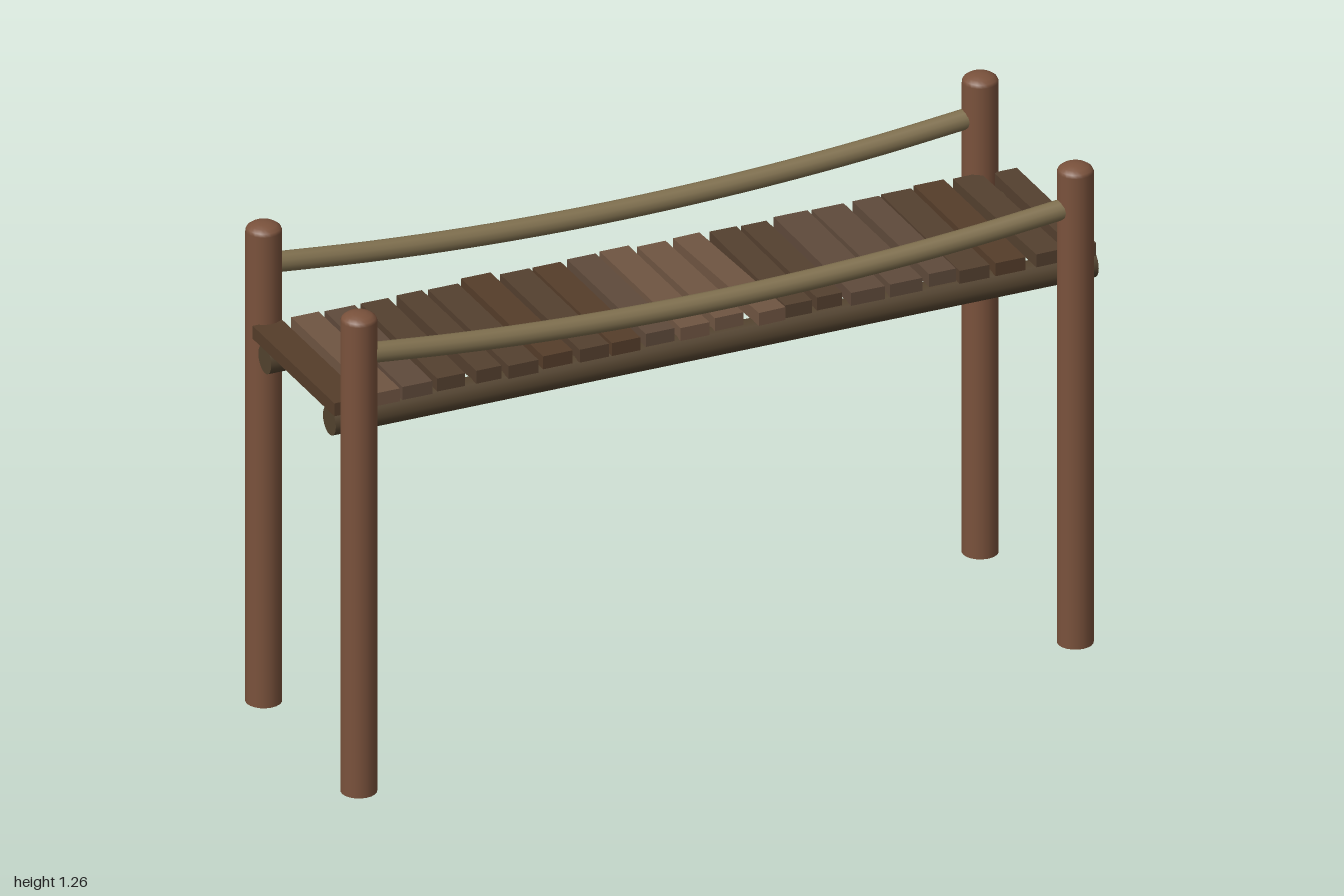
import * as THREE from 'three';

const mat = (color) => new THREE.MeshStandardMaterial({ color });

export function createModel() {
  const bridge = new THREE.Group();
  bridge.name = 'ropeBridge';
  const add = (name, geometry, material, x, y, z, parent = bridge) => {
    const mesh = new THREE.Mesh(geometry, material);
    mesh.name = name;
    mesh.position.set(x, y, z);
    parent.add(mesh);
    return mesh;
  };

  const postWood = mat(0x7a523c);
  const beamWood = mat(0x53432f);
  const ropeFibre = mat(0x80704f);
  const plankWoods = [0x54402f, 0x6f5542, 0x5f4a3b, 0x553d2a].map(mat);

  // Four round posts with low domed caps
  const postR = 0.044, postH = 1.24, sideZ = 0.265;
  const postGeo = new THREE.CylinderGeometry(postR, postR, postH, 20);
  const capGeo = new THREE.SphereGeometry(postR, 20, 4, 0, Math.PI * 2, 0, Math.PI / 2);
  capGeo.scale(1, 0.48, 1);
  for (const x of [-0.956, 0.913]) {
    for (const z of [-sideZ, sideZ]) {
      const post = new THREE.Group();
      post.name = 'post';
      post.position.set(x, 0, z);
      add('postShaft', postGeo, postWood, 0, postH / 2, 0, post);
      add('postCap', capGeo, postWood, 0, postH, 0, post);
      bridge.add(post);
    }
  }

  // Two round beams carrying the deck
  const beamGeo = new THREE.CylinderGeometry(0.036, 0.036, 1.99, 20);
  beamGeo.rotateZ(Math.PI / 2);
  for (const z of [-0.18, 0.18]) add('beam', beamGeo, beamWood, 0.002, 0.944, z);

  // Sagging hand ropes with closed ends
  const ropeR = 0.025, x0 = -0.92, x1 = 0.88;
  const points = [];
  for (let i = 0; i <= 8; i++) {
    const t = i / 8;
    points.push(new THREE.Vector3(x0 + (x1 - x0) * t, 1.147 - 0.051 * 4 * t * (1 - t), 0));
  }
  const ropeGeo = new THREE.TubeGeometry(new THREE.CatmullRomCurve3(points), 32, ropeR, 12);
  const endGeo = new THREE.CircleGeometry(ropeR, 12);
  for (const z of [-sideZ - 0.003, sideZ]) {
    add('handRope', ropeGeo, ropeFibre, 0, 0, z);
    add('ropeEnd', endGeo, ropeFibre, x0, 1.147, z).rotation.y = -Math.PI / 2;
    add('ropeEnd', endGeo, ropeFibre, x1, 1.147, z).rotation.y = Math.PI / 2;
  }

  // Deck planks: centre x, width, back z, front z, yaw, wood
  const planks = [
    [-0.962, 0.077, -0.232, 0.224, 0, 3], [-0.864, 0.072, -0.232, 0.22, 0, 1],
    [-0.775, 0.078, -0.234, 0.21, -0.012, 2], [-0.687, 0.072, -0.229, 0.21, -0.012, 0],
    [-0.591, 0.066, -0.234, 0.21, 0, 0], [-0.503, 0.078, -0.234, 0.215, 0, 0],
    [-0.411, 0.077, -0.248, 0.21, 0, 3], [-0.316, 0.076, -0.234, 0.21, 0, 0],
    [-0.233, 0.074, -0.234, 0.21, 0, 3], [-0.142, 0.075, -0.234, 0.205, 0, 2],
    [-0.051, 0.075, -0.246, 0.205, 0, 1], [0.04, 0.075, -0.228, 0.195, 0.012, 1],
    [0.138, 0.07, -0.232, 0.215, 0.035, 1], [0.224, 0.07, -0.232, 0.2, -0.012, 0],
    [0.302, 0.066, -0.222, 0.2, 0, 0], [0.401, 0.088, -0.234, 0.21, -0.012, 2],
    [0.5, 0.084, -0.234, 0.205, 0, 2], [0.597, 0.07, -0.228, 0.2, 0, 2],
    [0.678, 0.078, -0.238, 0.21, -0.01, 0], [0.77, 0.078, -0.247, 0.21, 0, 3],
    [0.868, 0.072, -0.237, 0.212, 0.018, 0], [0.963, 0.06, -0.232, 0.21, 0, 0],
  ];
  const deck = new THREE.Group();
  deck.name = 'deck';
  bridge.add(deck);
  planks.forEach(([x, width, back, front, yaw, wood], i) => {
    const geo = new THREE.BoxGeometry(width, 0.034, front - back);
    const y = 0.994 + 0.002 * Math.sin(i * 2.3);
    add('plank', geo, plankWoods[wood], x, y, (front + back) / 2, deck).rotation.y = yaw;
  });

  return bridge;
}
